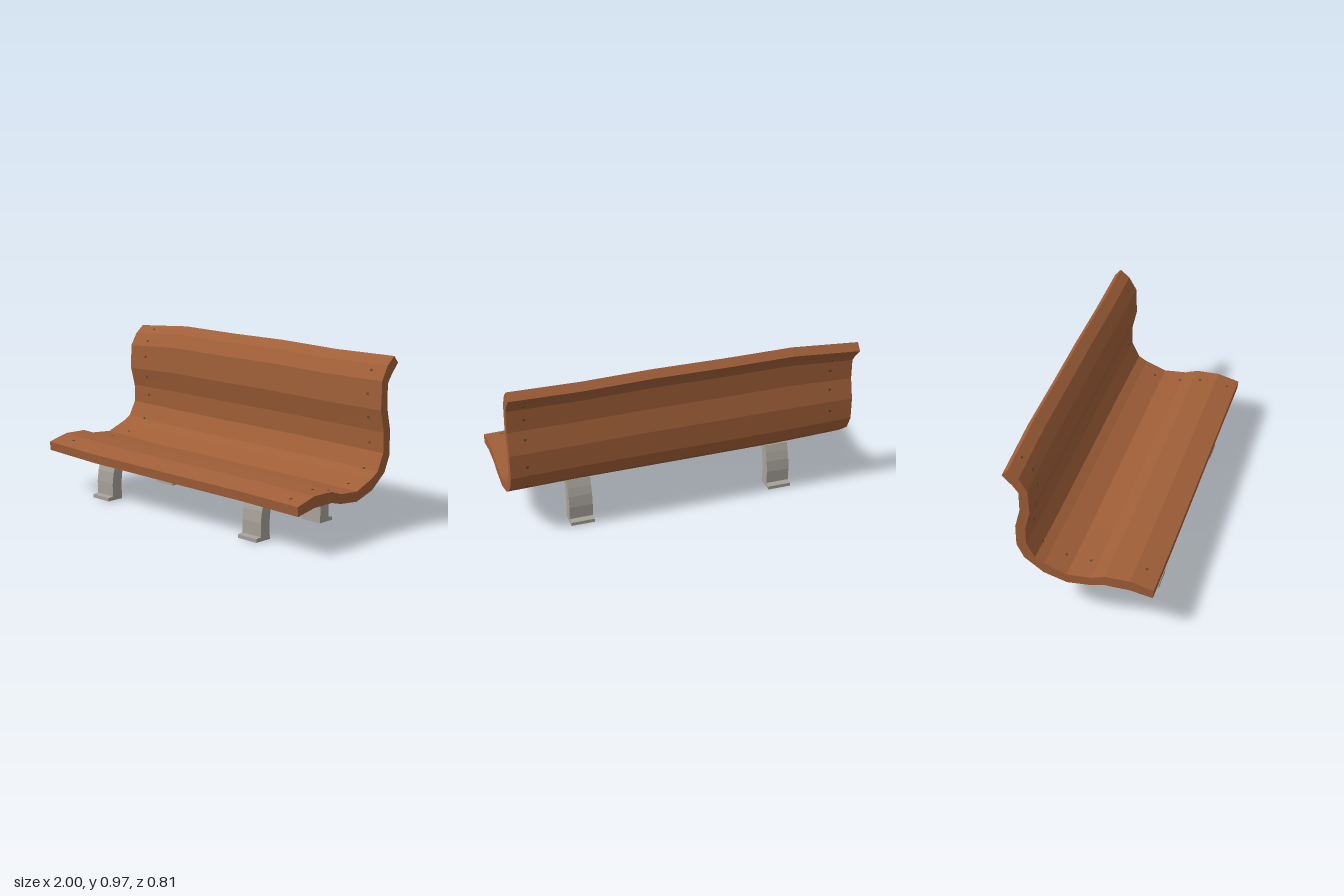
import * as THREE from 'three';

// Board profile as [z, y], front lip to backrest crest
const TOP = [[0.405, 0.275], [0.275, 0.308], [0.135, 0.305], [0.06, 0.278], [-0.075, 0.267], [-0.2, 0.315], [-0.25, 0.345],
  [-0.295, 0.44], [-0.295, 0.555], [-0.266, 0.68], [-0.27, 0.84], [-0.315, 0.92], [-0.37, 0.965]];
const UNDER = [[0.4, 0.222], [0.275, 0.245], [0.135, 0.245], [0.06, 0.225], [-0.075, 0.211], [-0.205, 0.25], [-0.31, 0.33],
  [-0.35, 0.42], [-0.35, 0.56], [-0.32, 0.69], [-0.32, 0.82], [-0.35, 0.865], [-0.405, 0.925]];

// Warp along the length: [x, seat rise, crest rise]
const STATIONS = [[-1, 0.025, -0.028], [-0.6, 0.012, 0.003], [-0.2, 0.01, 0], [0.2, 0.009, 0.003], [0.6, 0.008, -0.006], [1, 0, 0]];

function warp(x, [z, y]) {
  let i = 0;
  while (i < STATIONS.length - 2 && x > STATIONS[i + 1][0]) i++;
  const a = STATIONS[i], b = STATIONS[i + 1];
  const t = (x - a[0]) / (b[0] - a[0]);
  const seat = THREE.MathUtils.lerp(a[1], b[1], t);
  const crest = THREE.MathUtils.lerp(a[2], b[2], t);
  const h = THREE.MathUtils.clamp((y - 0.35) / 0.55, 0, 1);
  return new THREE.Vector3(x, y + THREE.MathUtils.lerp(seat, crest, h), z);
}

// Faceted skin through the warped sections, with end caps
function boardGeometry() {
  const pos = [];
  const quad = (a, b, c, d) => [a, b, c, a, c, d].forEach(p => pos.push(p.x, p.y, p.z));
  const ring = [...TOP, ...[...UNDER].reverse()];
  const n = ring.length, m = TOP.length;
  const rings = STATIONS.map(s => ring.map(p => warp(s[0], p)));
  for (let s = 0; s < rings.length - 1; s++) {
    const a = rings[s], b = rings[s + 1];
    for (let i = 0; i < n; i++) {
      const j = (i + 1) % n;
      quad(a[i], b[i], b[j], a[j]);
    }
  }
  const l = rings[0], r = rings[rings.length - 1];
  for (let i = 0; i < m - 1; i++) {
    const u = n - 1 - i;
    quad(r[i], r[u], r[u - 1], r[i + 1]);
    quad(l[i], l[i + 1], l[u - 1], l[u]);
  }
  const g = new THREE.BufferGeometry();
  g.setAttribute('position', new THREE.Float32BufferAttribute(pos, 3));
  g.computeVertexNormals();
  return g;
}

// Curved leg with a toe plate; the back legs are mirrored in z
function legGeometry(back) {
  const outline = [[0.238, 0], [0.345, 0], [0.345, 0.02], [0.31, 0.024], [0.311, 0.1], [0.302, 0.165], [0.286, 0.215],
    [0.268, 0.258], [0.192, 0.258], [0.221, 0.205], [0.236, 0.15], [0.242, 0.09]];
  const shape = new THREE.Shape(outline.map(([z, y]) => new THREE.Vector2(back ? 0.06 - z : z, y)));
  const g = new THREE.ExtrudeGeometry(shape, { depth: 0.136, bevelEnabled: false });
  g.translate(0, 0, -0.068);
  g.rotateY(-Math.PI / 2);
  return g;
}

export function createModel() {
  const wood = new THREE.MeshStandardMaterial({ color: 0xa05f38 });
  wood.name = 'wood';
  const concrete = new THREE.MeshStandardMaterial({ color: 0xa6a199 });
  concrete.name = 'concrete';
  const metal = new THREE.MeshStandardMaterial({ color: 0x5a4a2a });
  metal.name = 'rivet metal';

  const group = new THREE.Group();
  group.name = 'bench';
  const add = (name, geometry, material) => {
    const mesh = new THREE.Mesh(geometry, material);
    mesh.name = name;
    group.add(mesh);
    return mesh;
  };

  add('seatAndBackrest', boardGeometry(), wood);

  for (const x of [-0.602, 0.592]) {
    const side = x > 0 ? 'Left' : 'Right';
    add('front' + side + 'Leg', legGeometry(false), concrete).position.x = x;
    add('back' + side + 'Leg', legGeometry(true), concrete).position.x = x;
  }

  // Small rivets through the board near each end, placed by profile position
  const rivets = [
    [-0.865, [0.58, 3.3, 4.36, 6, 7.55, 8.6, 9.55, 10.4, 11.5]],
    [0.905, [0.42, 1.7, 3.1, 4.36, 6, 7.4, 8.6, 9.5, 10.6]],
  ];
  const up = new THREE.Vector3(0, 1, 0);
  for (const [x, places] of rivets) {
    for (const p of places) {
      const i = Math.floor(p);
      const at = list => warp(x, list[i]).lerp(warp(x, list[i + 1]), p - i);
      const a = at(TOP), b = at(UNDER);
      const rivet = add('rivet', new THREE.CylinderGeometry(0.008, 0.008, a.distanceTo(b) + 0.004, 6), metal);
      rivet.position.copy(a).add(b).multiplyScalar(0.5);
      rivet.quaternion.setFromUnitVectors(up, a.sub(b).normalize());
    }
  }
  return group;
}
